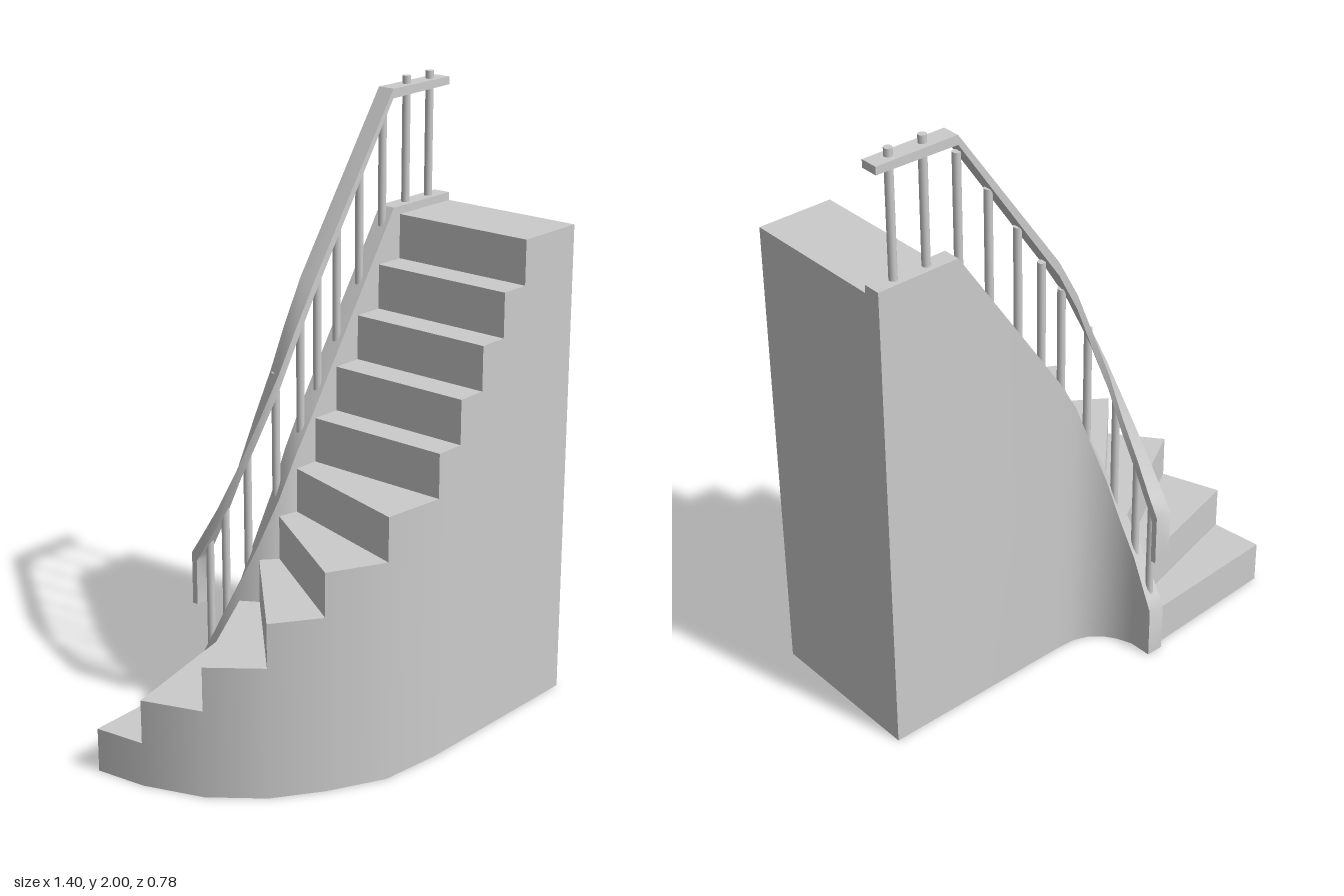
import * as THREE from 'three';
import { toCreasedNormals } from 'three/addons/utils/BufferGeometryUtils.js';

const material = new THREE.MeshStandardMaterial({ color: 0xcccccc });
const RISE = 0.1431;

function addMesh(parent, name, geometry) {
  const mesh = new THREE.Mesh(geometry, material);
  mesh.name = name;
  parent.add(mesh);
  return mesh;
}

// Geometry from a list of four-cornered faces; edges sharper than the crease stay hard
function fromQuads(quads, crease) {
  const pos = [];
  for (const [a, b, c, d] of quads) pos.push(...a, ...b, ...c, ...a, ...c, ...d);
  const g = new THREE.BufferGeometry();
  g.setAttribute('position', new THREE.Float32BufferAttribute(pos, 3));
  g.computeVertexNormals();
  return crease ? toCreasedNormals(g, crease) : g;
}

// Skin a row of four-cornered cross-sections and cap both ends
function sweep(rings) {
  const quads = [rings[0], [...rings[rings.length - 1]].reverse()];
  for (let k = 0; k < rings.length - 1; k++) {
    const a = rings[k], b = rings[k + 1];
    for (let i = 0; i < 4; i++) {
      const j = (i + 1) % 4;
      quads.push([a[i], b[i], b[j], a[j]]);
    }
  }
  return fromQuads(quads, 0.6);
}

// Plan points [x, z] of each riser: wide side and narrow side
const straightX = [0.045, 0.145, 0.247, 0.348, 0.45, 0.7];
const wide = [[-0.702, -0.33], [-0.68, -0.16], [-0.61, 0.03], [-0.49, 0.18],
  [-0.345, 0.28], [-0.165, 0.37], ...straightX.map(x => [x, 0.39])];
const narrow = [[-0.215, -0.355], [-0.21, -0.28], [-0.187, -0.215], [-0.153, -0.16],
  [-0.105, -0.118], [-0.04, -0.102], ...straightX.map(x => [x, -0.1])];

// Plan of the curb and handrail: [stair side x, z, open side x, z, curb top, rail top, rail thickness]
const stations = [
  [-0.215, -0.355, -0.157, -0.36, 0.21, 0.61, 0.055],
  [-0.21, -0.28, -0.155, -0.3, 0.35, 0.73, 0.055],
  [-0.187, -0.215, -0.135, -0.25, 0.485, 0.87, 0.055],
  [-0.153, -0.16, -0.11, -0.213, 0.625, 1.02, 0.055],
  [-0.105, -0.118, -0.07, -0.18, 0.77, 1.17, 0.055],
  [-0.04, -0.102, -0.025, -0.162, 0.91, 1.31, 0.05],
  [0.045, -0.1, 0.045, -0.158, 1.035, 1.445, 0.045],
];

function createStairs() {
  const stairs = new THREE.Group();
  stairs.name = 'stairs';
  const at = (p, y) => [p[0], y, p[1]];
  const treads = [], risers = [], base = [];
  const wallPos = [], wallNormal = [], wallIndex = [];

  // Wall normals averaged over neighbouring segments
  const segNormal = wide.slice(1).map((p, i) =>
    new THREE.Vector3(wide[i][1] - p[1], 0, p[0] - wide[i][0]).normalize());
  const normals = wide.map((_, i) => segNormal[Math.max(i - 1, 0)].clone()
    .add(segNormal[Math.min(i, segNormal.length - 1)]).normalize());

  for (let n = 0; n < wide.length - 1; n++) {
    const y = RISE * (n + 1), i0 = narrow[n], i1 = narrow[n + 1], o0 = wide[n], o1 = wide[n + 1];
    treads.push([at(i0, y), at(o0, y), at(o1, y), at(i1, y)]);
    risers.push([at(i0, y - RISE), at(o0, y - RISE), at(o0, y), at(i0, y)]);
    base.push([at(i1, 0), at(o1, 0), at(o0, 0), at(i0, 0)]);
    wallPos.push(...at(o0, 0), ...at(o1, 0), ...at(o1, y), ...at(o0, y));
    for (const k of [n, n + 1, n + 1, n]) wallNormal.push(...normals[k].toArray());
    wallIndex.push(...[0, 1, 2, 0, 2, 3].map(k => k + n * 4));
  }
  addMesh(stairs, 'treads', fromQuads(treads));
  addMesh(stairs, 'risers', fromQuads(risers));
  addMesh(stairs, 'base', fromQuads(base));

  const last = wide.length - 1, top = RISE * last;
  addMesh(stairs, 'endWall', fromQuads([
    [at(wide[last], 0), at(narrow[last], 0), at(narrow[last], top), at(wide[last], top)]]));

  const wall = new THREE.BufferGeometry();
  wall.setAttribute('position', new THREE.Float32BufferAttribute(wallPos, 3));
  wall.setAttribute('normal', new THREE.Float32BufferAttribute(wallNormal, 3));
  wall.setIndex(wallIndex);
  addMesh(stairs, 'outerWall', wall);
  return stairs;
}

function createCurb() {
  const rows = [[-0.215, -0.376, -0.157, -0.376, 0.175], ...stations,
    [0.42, -0.1, 0.42, -0.158, 1.6], [0.7, -0.1, 0.7, -0.158, 1.6]];
  return sweep(rows.map(([ix, iz, ox, oz, y]) =>
    [[ix, y, iz], [ox, y, oz], [ox, 0, oz], [ix, 0, iz]]));
}

function createHandrail() {
  const rows = stations.map(([ix, iz, ox, oz, , y, t]) => [ix, iz, ox, oz, y, t, 0]);
  // Lower end turns straight down; upper end runs level
  rows.unshift([-0.215, -0.392, -0.157, -0.392, 0.38, 0, 0.02],
    [-0.215, -0.392, -0.157, -0.392, 0.555, 0.025, 0.02]);
  rows.push([0.412, -0.1, 0.412, -0.158, 1.975, 0.03, 0], [0.69, -0.1, 0.69, -0.158, 1.975, 0.025, 0]);
  return sweep(rows.map(([ix, iz, ox, oz, y, t, dz]) =>
    [[ix, y, iz], [ox, y, oz], [ox, y - t, oz + dz], [ix, y - t, iz + dz]]));
}

export function createModel() {
  const model = new THREE.Group();
  model.name = 'curvedStaircase';
  model.add(createStairs());
  addMesh(model, 'curb', createCurb());
  addMesh(model, 'handrail', createHandrail());

  // Balusters: [x, z, bottom, top]; the two on the landing pass through the rail
  const balusters = [
    [-0.186, -0.34, 0.2, 0.6], [-0.176, -0.28, 0.34, 0.73],
    [-0.142, -0.215, 0.52, 0.91], [-0.078, -0.153, 0.77, 1.17],
  ];
  for (const [x, top] of [[0.008, 1.33], [0.087, 1.45], [0.178, 1.6], [0.285, 1.76],
    [0.395, 1.91], [0.51, 2], [0.625, 2]]) {
    balusters.push([x, -0.128, Math.min(1.6, 1.035 + (x - 0.045) * 1.507) - 0.03, top]);
  }
  for (const [x, z, y0, y1] of balusters) {
    const post = addMesh(model, 'baluster', new THREE.CylinderGeometry(0.013, 0.013, y1 - y0, 12));
    post.position.set(x, (y0 + y1) / 2, z);
  }
  return model;
}
